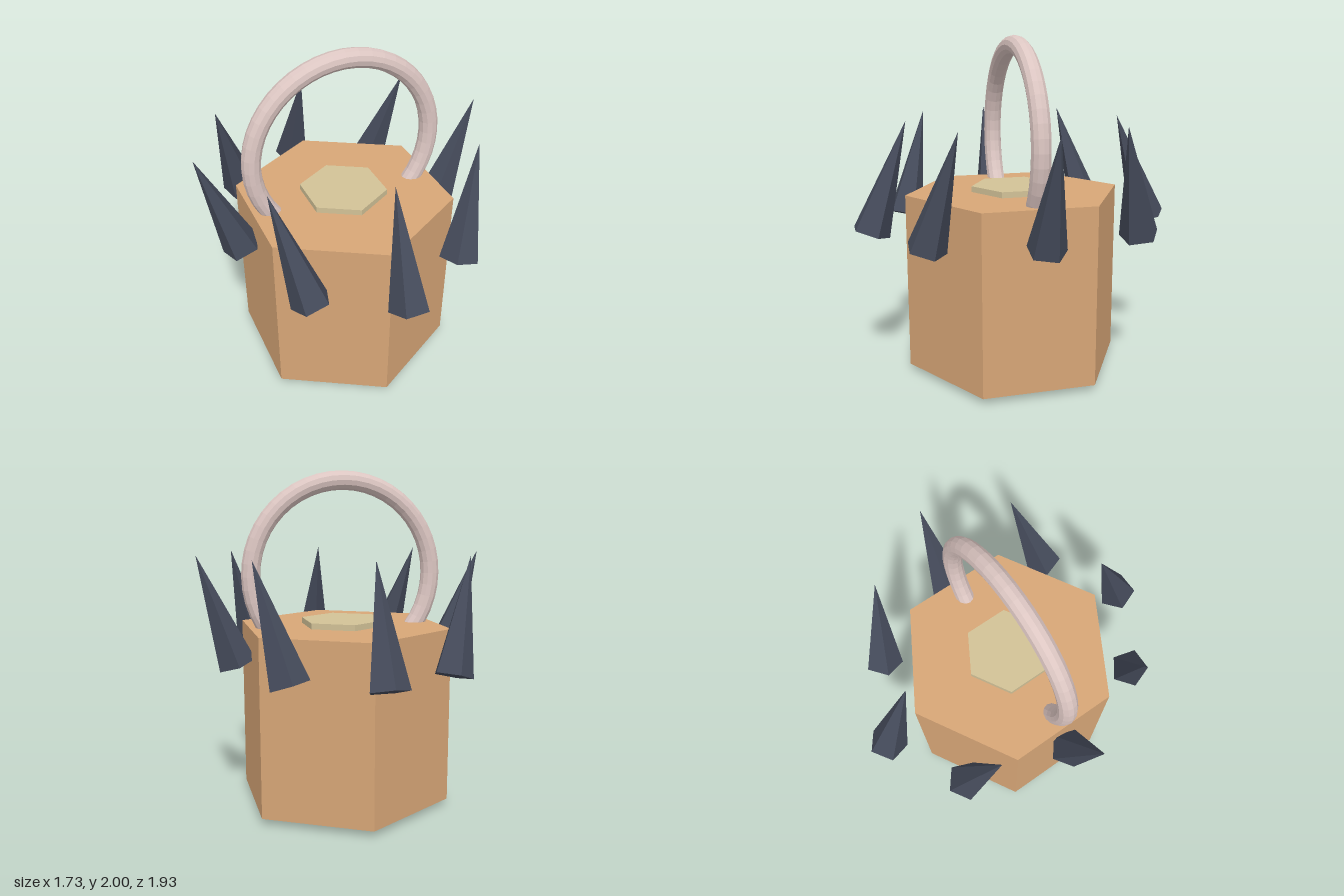
import * as THREE from 'three';

const flat = (name, color) => {
  const m = new THREE.MeshStandardMaterial({ color, flatShading: true });
  m.name = name;
  return m;
};

export function createModel() {
  const wood = flat('warm tan', 0xd7a677);
  const brass = flat('pale brass', 0xd2c297);
  const steel = flat('pinkish metal', 0xdcc6c2);
  const iron = flat('dark iron', 0x454b5b);

  const model = new THREE.Group();
  model.name = 'spikedLock';
  const cz = 0.007; // depth of the shared centre axis
  const add = (name, geometry, material, x, y, z) => {
    const mesh = new THREE.Mesh(geometry, material);
    mesh.name = name;
    mesh.position.set(x, y, z);
    model.add(mesh);
    return mesh;
  };

  // Hexagonal body with a smaller hexagonal plate on each end
  add('body', new THREE.CylinderGeometry(0.655, 0.655, 1.05, 6), wood, 0, 0.562, cz);
  const plate = new THREE.CylinderGeometry(0.261, 0.261, 0.037, 6);
  add('topPlate', plate, brass, 0, 1.1035, cz);
  add('bottomPlate', plate, brass, 0, 0.0185, cz);

  // Ring handle, sunk into the body
  add('handleRing', new THREE.TorusGeometry(0.555, 0.056, 12, 48), steel, 0, 1.389, cz);

  // Floating five-sided spikes: leaning out at the sides, in at front and back
  const spike = new THREE.ConeGeometry(0.116, 0.68, 5, 1, false, Math.PI);
  const tilt = 0.33;
  for (let i = 0; i < 8; i++) {
    const a = (i * Math.PI) / 4;
    const c = Math.cos(a), s = Math.sin(a);
    const mesh = add('spike' + (i + 1), spike, iron, 0.757 * c, 1.199, 0.757 * s);
    mesh.rotation.set(-tilt * s, 0, -tilt * c);
  }
  return model;
}
